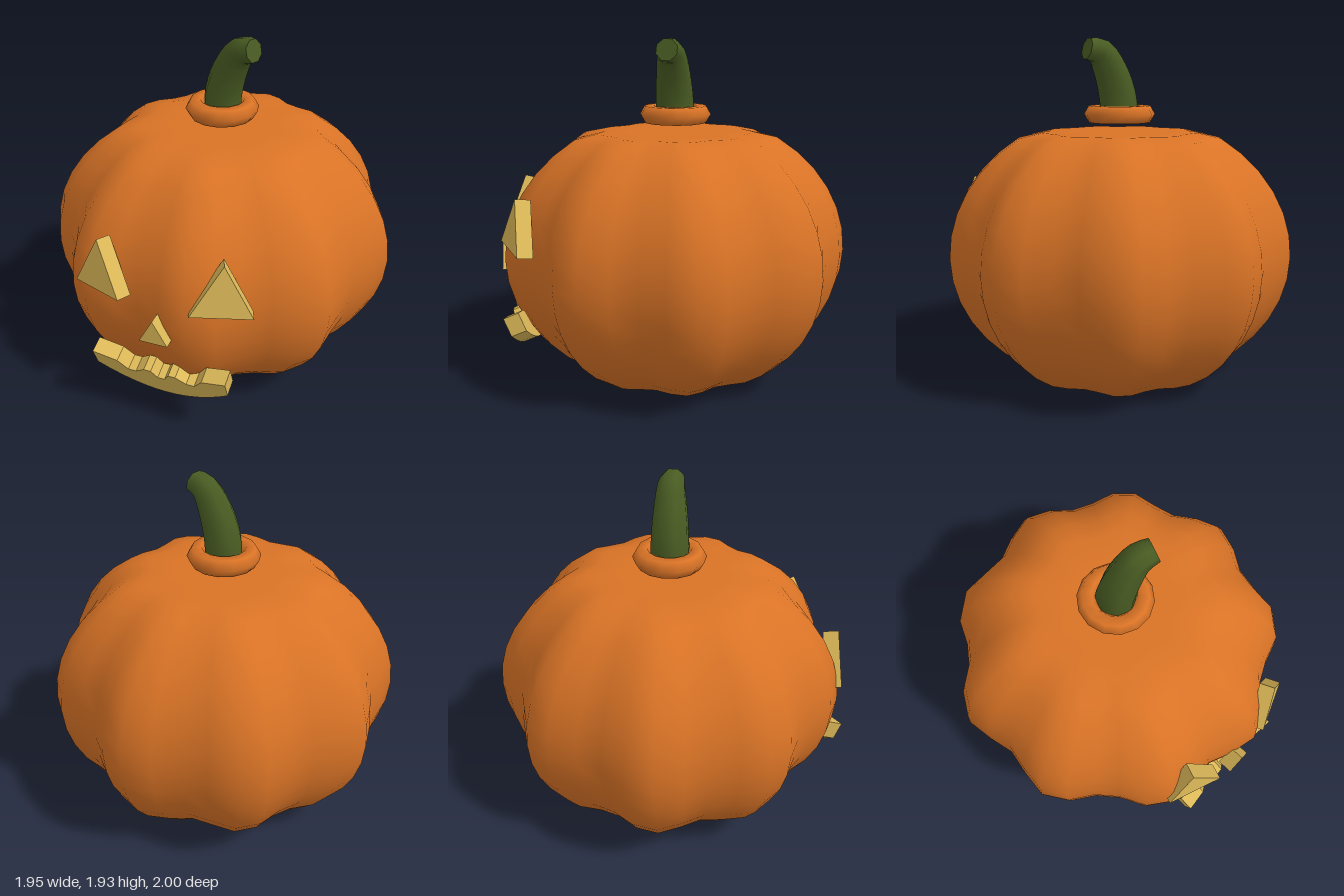
import * as THREE from 'three';
import { mergeVertices } from 'three/addons/utils/BufferGeometryUtils.js';

const material = (name, color) => {
  const m = new THREE.MeshStandardMaterial({ color });
  m.name = name;
  return m;
};

export function createModel() {
  const group = new THREE.Group();
  group.name = 'carvedPumpkin';
  const orange = material('pumpkinOrange', 0xd97326);
  const green = material('stemGreen', 0x4a5d23);
  const yellow = material('glowYellow', 0xdcb858);

  const add = (name, geometry, mat, x = 0, y = 0, z = 0) => {
    const mesh = new THREE.Mesh(geometry, mat);
    mesh.name = name;
    mesh.position.set(x, y, z);
    group.add(mesh);
    return mesh;
  };
  const CX = -0.02, CZ = -0.015;

  // Body: a sphere with nine lobes, squashed and flattened at top and bottom
  let body = new THREE.SphereGeometry(1, 40, 20);
  body.deleteAttribute('uv');
  body.deleteAttribute('normal');
  const p = body.attributes.position;
  for (let i = 0; i < p.count; i++) {
    const x = p.getX(i), y = p.getY(i), z = p.getZ(i);
    const r = 0.95 + 0.05 * Math.cos(9 * Math.atan2(z, x));
    p.setXYZ(i, x * r, THREE.MathUtils.clamp(y * 0.83, -0.7, 0.7), z * r);
  }
  body = mergeVertices(body, 1e-4);
  body.computeVertexNormals();
  add('body', body, orange, CX, 0.7, CZ);

  // Collar ring around the stem
  const ring = new THREE.TorusGeometry(0.15, 0.055, 6, 14);
  ring.rotateX(Math.PI / 2);
  add('stemCollar', ring, orange, CX, 1.502, CZ);

  // Stem: a bent tube that narrows to a flat cut end
  const path = new THREE.CatmullRomCurve3([
    [-0.02, 1.47, -0.015], [-0.01, 1.6, -0.01], [0.04, 1.75, 0.005],
    [0.105, 1.85, 0.025], [0.18, 1.868, 0.055],
  ].map(a => new THREE.Vector3(...a)));
  const STEPS = 12, SIDES = 8;
  const stem = new THREE.TubeGeometry(path, STEPS, 1, SIDES, false);
  const s = stem.attributes.position, v = new THREE.Vector3();
  for (let i = 0; i <= STEPS; i++) {
    const t = i / STEPS, c = path.getPointAt(t), r = 0.11 - 0.046 * t * t;
    for (let j = 0; j <= SIDES; j++) {
      const k = i * (SIDES + 1) + j;
      v.fromBufferAttribute(s, k).sub(c).multiplyScalar(r).add(c);
      s.setXYZ(k, v.x, v.y, v.z);
    }
  }
  add('stem', stem, green);
  for (const [name, i] of [['stemBase', 0], ['stemCutEnd', STEPS]]) {
    const at = j => new THREE.Vector3().fromBufferAttribute(s, i * (SIDES + 1) + j);
    const c = path.getPointAt(i / STEPS), pts = [];
    for (let j = 0; j < SIDES; j++) {
      pts.push(c, ...(i ? [at(j + 1), at(j)] : [at(j), at(j + 1)]));
    }
    const cap = new THREE.BufferGeometry().setFromPoints(pts);
    cap.computeVertexNormals();
    add(name, cap, green);
  }

  // Face pieces: extruded shapes whose front lies on local z = 0
  const plate = (shape, depth) => {
    const g = new THREE.ExtrudeGeometry(shape, { depth, bevelEnabled: false, curveSegments: 12 });
    return g.translate(0, 0, -depth);
  };
  const triangle = (w, h) => new THREE.Shape([
    new THREE.Vector2(-w / 2, 0), new THREE.Vector2(w / 2, 0), new THREE.Vector2(0, h),
  ]);

  // Eyes, turned outward and tilted slightly up
  for (const side of [-1, 1]) {
    const eye = add(side > 0 ? 'leftEye' : 'rightEye', plate(triangle(0.32, 0.28), 0.088), yellow,
      CX + side * 0.34, 0.82, 0.927);
    eye.rotation.set(-0.16, side * 0.37, 0);
  }

  // Nose
  add('nose', plate(triangle(0.155, 0.14), 0.088), yellow, CX, 0.62, 1.0);

  // Mouth: curved underside, notched upper edge, tilted down
  const half = [[0.375, 0.278], [0.24, 0.24], [0.19, 0.17], [0.145, 0.17],
    [0.09, 0.214], [0.05, 0.214], [0.02, 0.16]];
  const mouthShape = new THREE.Shape();
  mouthShape.moveTo(-0.375, 0.165);
  mouthShape.quadraticCurveTo(0, -0.165, 0.375, 0.165);
  for (const [x, y] of half) mouthShape.lineTo(x, y);
  for (const [x, y] of [...half].reverse()) mouthShape.lineTo(-x, y);
  const mouth = add('mouth', plate(mouthShape, 0.088), yellow, CX, 0.175, 0.875);
  mouth.rotation.x = 0.36;

  return group;
}
